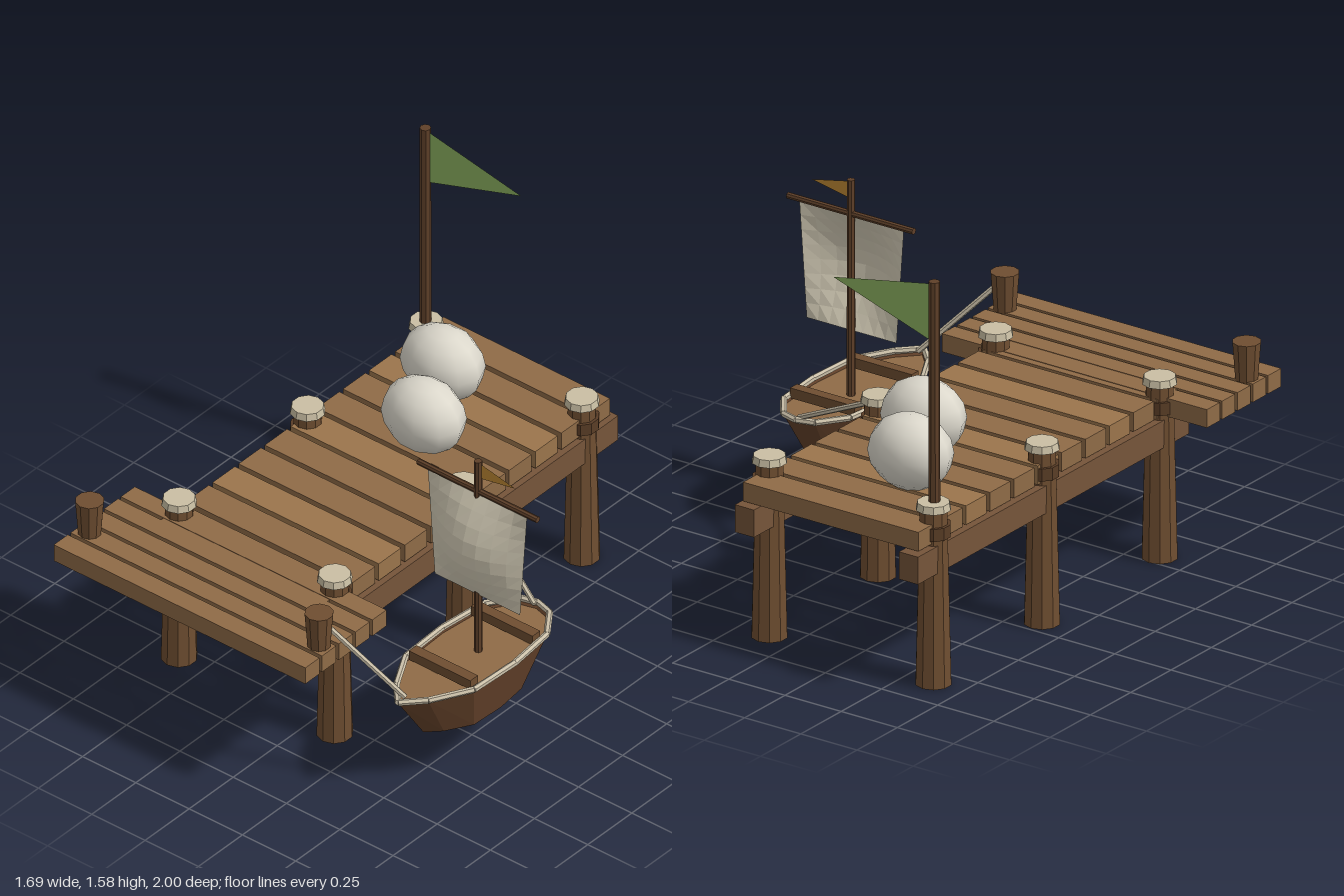
import * as THREE from 'three';

const mat = (color, flat = true, side = THREE.FrontSide) =>
  new THREE.MeshStandardMaterial({ color, flatShading: flat, side });

const M = {
  plank: mat(0x8f6b47), plankLight: mat(0x9b754c), post: mat(0x6f4e31), beam: mat(0x76553a),
  band: mat(0x5a3d26), cap: mat(0xcabfa4), sack: mat(0xdcd8cc, false), rope: mat(0xcabfa8),
  hull: mat(0x66432b, true, THREE.DoubleSide), sail: mat(0xd8d0ba, true, THREE.DoubleSide),
  pole: mat(0x5f4029), green: mat(0x8fb562, true, THREE.DoubleSide),
  orange: mat(0xc08a35, true, THREE.DoubleSide),
};

export function createModel() {
  const model = new THREE.Group();
  model.name = 'dockWithBoat';

  const add = (parent, name, geo, material, x = 0, y = 0, z = 0) => {
    const mesh = new THREE.Mesh(geo, material);
    mesh.name = name;
    mesh.position.set(x, y, z);
    parent.add(mesh);
    return mesh;
  };
  const box = (parent, name, m, w, h, d, x, y, z) =>
    add(parent, name, new THREE.BoxGeometry(w, h, d), m, x, y, z);
  // upright tapered cylinder from y0 to y1
  const column = (parent, name, m, rTop, rBottom, y0, y1, x, z, sides = 10) =>
    add(parent, name, new THREE.CylinderGeometry(rTop, rBottom, y1 - y0, sides), m, x, (y0 + y1) / 2, z);
  // straight round bar between two points
  const rod = (parent, name, m, a, b, r, sides = 6) => {
    const p = new THREE.Vector3(...a), q = new THREE.Vector3(...b);
    const d = q.clone().sub(p);
    const mesh = add(parent, name, new THREE.CylinderGeometry(r, r, d.length(), sides), m);
    mesh.position.copy(p).add(q).multiplyScalar(0.5);
    mesh.quaternion.setFromUnitVectors(new THREE.Vector3(0, 1, 0), d.normalize());
    return mesh;
  };
  const triangleFlag = (parent, name, m, pts, z) =>
    add(parent, name, new THREE.ShapeGeometry(new THREE.Shape(pts.map(p => new THREE.Vector2(...p)))), m, 0, 0, z);

  // walkway planks, every third one lighter
  const dock = new THREE.Group();
  dock.name = 'dock';
  model.add(dock);
  for (let i = 0; i < 11; i++) {
    const last = i === 10 ? 0.002 : 0;
    box(dock, 'walkwayPlank', i % 3 === 2 ? M.plankLight : M.plank,
      0.78, 0.075, 0.127, -0.255, 0.6075 - last, -0.91 + i * 0.148);
  }
  // wide end platform
  for (let i = 0; i < 5; i++)
    box(dock, 'platformPlank', M.plank, 1.18, 0.072, 0.08, -0.255, 0.609, 0.576 + i * 0.095);

  // side beams, posts, bands and caps
  for (const x of [-0.62, 0.11]) {
    box(dock, 'sideBeam', M.beam, 0.085, 0.108, 1.68, x, 0.507, -0.16);
    for (const z of [-0.845, -0.172, 0.557]) {
      column(dock, 'post', M.post, 0.052, 0.068, 0, 0.69, x, z);
      column(dock, 'postBand', M.band, 0.065, 0.065, 0.583, 0.632, x, z);
      column(dock, 'postCap', M.cap, 0.06, 0.066, 0.688, 0.716, x, z);
    }
  }
  // mooring bollards on the platform
  for (const x of [-0.793, 0.283])
    column(dock, 'bollard', M.post, 0.054, 0.043, 0.64, 0.79, x, 0.855);

  // flagpole and flag
  column(dock, 'flagpole', M.pole, 0.021, 0.022, 0.7, 1.582, -0.62, -0.84, 8);
  triangleFlag(dock, 'flag', M.green, [[-0.6, 1.345], [-0.17, 1.485], [-0.6, 1.568]], -0.84);

  // sacks
  for (const [x, z] of [[-0.363, -0.628], [-0.212, -0.338]])
    add(dock, 'sack', new THREE.SphereGeometry(1, 10, 8), M.sack, x, 0.772, z).scale.set(0.171, 0.145, 0.132);

  // boat, built around its own mid line
  const boat = new THREE.Group();
  boat.name = 'boat';
  boat.position.x = 0.563;
  model.add(boat);

  // plan outline: back tip, left side, front tip, right side
  const half = [[0.07, -0.03], [0.148, 0.08], [0.17, 0.29], [0.16, 0.51], [0.075, 0.665]];
  const outline = [[0, -0.05], ...half, [0, 0.745], ...half.slice().reverse().map(([x, z]) => [-x, z])];
  const n = outline.length;
  const ring = (y, sx, sz) => outline.map(([x, z]) => [x * sx, y, 0.335 + (z - 0.335) * sz]);
  const top = ring(0.45, 1, 1), bottom = ring(0.24, 0.7, 0.65), deck = ring(0.432, 0.97, 0.97);
  const faces = list => {
    const geo = new THREE.BufferGeometry();
    geo.setAttribute('position', new THREE.Float32BufferAttribute(list.flat(), 3));
    geo.computeVertexNormals();
    return geo;
  };
  const hull = [], floor = [];
  for (let i = 0; i < n; i++) {
    const j = (i + 1) % n;
    hull.push(bottom[i], top[i], top[j], bottom[i], top[j], bottom[j]);
    hull.push([0, 0.24, 0.335], bottom[i], bottom[j]);
    floor.push([0, 0.432, 0.335], deck[j], deck[i]);
    // rope rim
    rod(boat, 'rim', M.rope, [top[i][0], 0.454, top[i][2]], [top[j][0], 0.454, top[j][2]], 0.0125);
  }
  add(boat, 'hull', faces(hull), M.hull);
  add(boat, 'boatFloor', faces(floor), M.plank);
  for (const z of [0.135, 0.488])
    box(boat, 'bench', M.post, 0.288, 0.04, 0.043, 0, 0.466, z);

  // mast, yard and pennant
  column(boat, 'mast', M.pole, 0.015, 0.016, 0.43, 1.282, 0, 0.291, 8);
  rod(boat, 'yard', M.pole, [-0.28, 1.148, 0.291], [0.28, 1.148, 0.291], 0.0125, 8);
  triangleFlag(boat, 'pennant', M.orange, [[0.014, 1.208], [0.175, 1.238], [0.014, 1.272]], 0.291);

  // billowing sail, narrower towards the foot
  const sail = new THREE.PlaneGeometry(1, 1, 8, 8);
  const p = sail.attributes.position;
  for (let i = 0; i < p.count; i++) {
    const u = p.getX(i), v = p.getY(i) + 0.5;
    const bulge = Math.cos(Math.PI * u) * Math.sin(Math.PI * v);
    p.setXYZ(i, u * (0.4 + 0.065 * v), 0.685 + 0.455 * v, 0.295 + 0.088 * bulge);
  }
  sail.computeVertexNormals();
  add(boat, 'sail', sail, M.sail);

  // mooring ropes
  rod(model, 'mooringRope', M.rope, [0.3, 0.745, 0.845], [0.563, 0.457, 0.705], 0.011);
  rod(model, 'mooringRope', M.rope, [0.13, 0.68, -0.172], [0.563, 0.457, -0.03], 0.011);

  return model;
}
